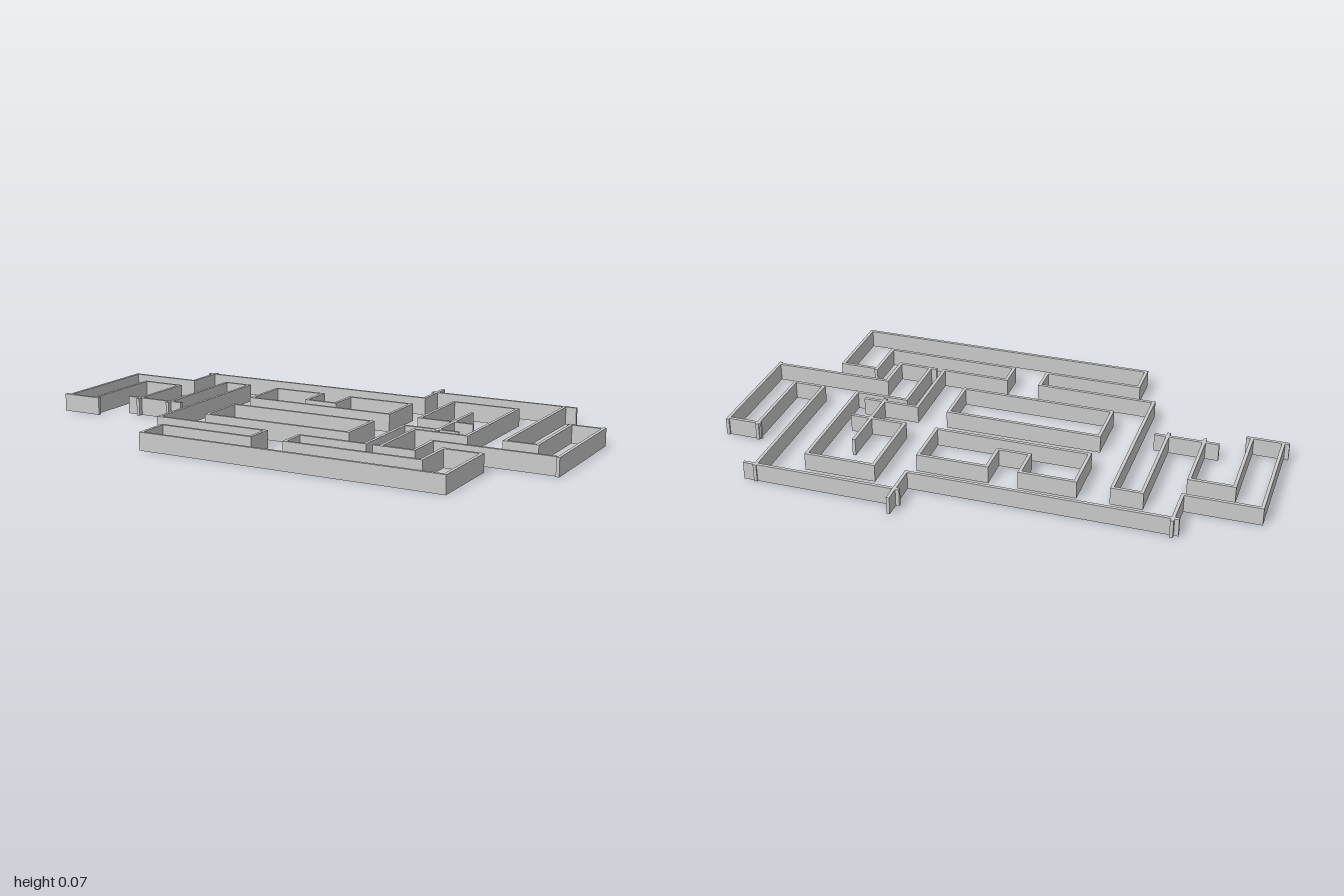
import * as THREE from 'three';

const HEIGHT = 0.066, THICK = 0.012;
const material = new THREE.MeshStandardMaterial({ color: 0xcccccc, flatShading: true });

// A run of upright wall panels along [x, z] corner points
function wallRun(name, points) {
  const run = new THREE.Group();
  run.name = name;
  for (let i = 0; i + 1 < points.length; i++) {
    const [x0, z0] = points[i], [x1, z1] = points[i + 1];
    const panel = new THREE.Mesh(new THREE.BoxGeometry(
      Math.abs(x1 - x0) + THICK, HEIGHT, Math.abs(z1 - z0) + THICK), material);
    panel.position.set((x0 + x1) / 2, HEIGHT / 2, (z0 + z1) / 2);
    panel.name = 'wallPanel';
    run.add(panel);
  }
  return run;
}

export function createModel() {
  const model = new THREE.Group();
  model.name = 'mazeWalls';

  // Left-hand winding walls, from the back step to the inner spiral
  model.add(wallRun('backWall', [
    [-0.706, -0.25], [-0.706, -0.4], [0.238, -0.4], [0.238, -0.513], [0.757, -0.513],
    [0.757, 0.075], [0.874, 0.075], [0.874, -0.25], [0.993, -0.25], [0.993, 0.192],
    [0.543, 0.192], [0.543, 0.338], [0.42, 0.338], [0.42, 0.075], [0.617, 0.075],
    [0.617, -0.393], [0.363, -0.393], [0.363, -0.092], [0.565, -0.092],
  ]));
  model.add(wallRun('spiralDivider', [[0.495, -0.25], [0.495, 0.05]]));

  // Front walls with the long front panel
  model.add(wallRun('frontWall', [
    [0.565, 0.038], [0.363, 0.038], [0.363, 0.338], [0.11, 0.338], [0.11, 0.438],
    [0.617, 0.438], [0.617, 0.273], [0.757, 0.273], [0.757, 0.565], [-0.387, 0.565],
    [-0.387, 0.438], [-0.025, 0.438], [-0.025, 0.338], [-0.468, 0.338],
    [-0.468, -0.281], [-0.573, -0.281], [-0.573, 0.13],
  ]));

  // Side loop and its cross wall
  model.add(wallRun('sideLoop', [
    [-0.706, 0.13], [-0.706, -0.147], [-0.865, -0.147], [-0.865, 0.192],
    [-0.978, 0.192], [-0.978, -0.25], [-0.706, -0.25],
  ]));
  model.add(wallRun('crossWall', [[-0.755, 0.112], [-0.53, 0.112]]));

  // Closed islands in the middle
  model.add(wallRun('notchedIsland', [
    [-0.338, -0.281], [-0.137, -0.281], [-0.137, -0.16], [-0.018, -0.16], [-0.018, -0.281],
    [0.238, -0.281], [0.238, -0.092], [-0.338, -0.092], [-0.338, -0.281],
  ]));
  model.add(wallRun('rectangularIsland', [
    [-0.338, 0.038], [0.238, 0.038], [0.238, 0.223], [-0.338, 0.223], [-0.338, 0.038],
  ]));

  // Short ends where panels run past a corner
  const overhangs = [
    [[-0.722, -0.4], [-0.706, -0.4]], [[-0.706, -0.415], [-0.706, -0.4]],
    [[0.238, -0.569], [0.238, -0.513]], [[0.225, -0.513], [0.238, -0.513]],
    [[0.757, -0.513], [0.797, -0.513]], [[0.757, -0.518], [0.757, -0.513]],
    [[0.874, -0.256], [0.874, -0.25]], [[0.868, -0.25], [0.874, -0.25]],
    [[0.993, -0.256], [0.993, -0.25]], [[0.993, 0.192], [0.993, 0.2]],
    [[0.4, 0.338], [0.42, 0.338]], [[0.617, 0.266], [0.617, 0.273]],
    [[-0.994, 0.192], [-0.978, 0.192]], [[-0.865, 0.192], [-0.85, 0.192]],
  ];
  for (const ends of overhangs) model.add(wallRun('wallOverhang', ends));
  return model;
}
